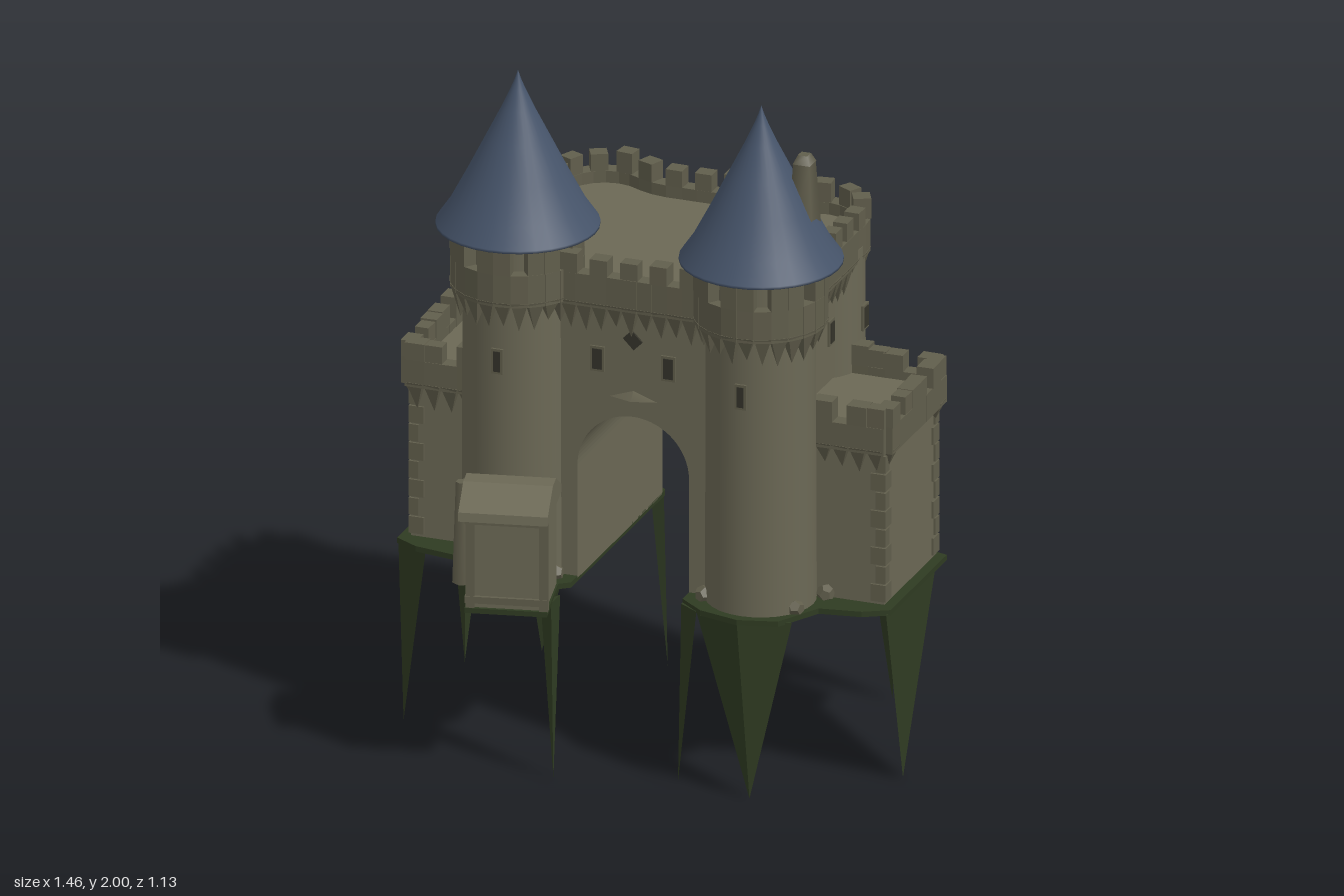
import * as THREE from 'three';
import { mergeGeometries } from 'three/addons/utils/BufferGeometryUtils.js';
import { ConvexGeometry } from 'three/addons/geometries/ConvexGeometry.js';

const material = (name, color, side = THREE.FrontSide) => new THREE.MeshStandardMaterial({ name, color, side });

export function createModel() {
  const model = new THREE.Group();
  model.name = 'castle';
  const stone = material('stone', 0x6b6855);
  const trim = material('trim stone', 0x615e4c);
  const dark = material('dark opening', 0x34332a);
  const slate = material('slate blue roof', 0x46546a);
  const grass = material('grass green', 0x2f3b22, THREE.DoubleSide);

  let seed = 7;
  const rand = () => (seed = (seed * 16807) % 2147483647) / 2147483647;
  const vary = (amount) => (rand() - 0.5) * amount;

  const add = (name, geometry, mat, x = 0, y = 0, z = 0, ry = 0) => {
    const mesh = new THREE.Mesh(geometry, mat);
    mesh.name = name;
    mesh.position.set(x, y, z);
    mesh.rotation.y = ry;
    model.add(mesh);
    return mesh;
  };
  // box spanning y0..y1
  const block = (name, mat, x0, x1, y0, y1, z0, z1) =>
    add(name, new THREE.BoxGeometry(x1 - x0, y1 - y0, z1 - z0), mat, (x0 + x1) / 2, (y0 + y1) / 2, (z0 + z1) / 2);
  // flat slab from a plan outline of [x, z] points
  const slab = (name, mat, points, y0, y1) => {
    const shape = new THREE.Shape(points.map(([x, z]) => new THREE.Vector2(x, -z)));
    const geometry = new THREE.ExtrudeGeometry(shape, { depth: y1 - y0, bevelEnabled: false });
    return add(name, geometry.rotateX(-Math.PI / 2), mat, 0, y0, 0);
  };
  const mirror = (points) => points.map(([x, z]) => [-x, z]).reverse();

  // rows of parapet stones, merlons and pointed corbels along a plan path
  function battlement(name, points, { y, low, high, cell, thick = 0.045, drop = 0.08, on = (i) => i % 2 === 0, teeth = () => true }) {
    const path = new THREE.CurvePath();
    for (let i = 1; i < points.length; i++) {
      path.add(new THREE.LineCurve3(
        new THREE.Vector3(points[i - 1][0], 0, points[i - 1][1]),
        new THREE.Vector3(points[i][0], 0, points[i][1])));
    }
    const n = Math.max(1, Math.round(path.getLength() / cell));
    const spots = path.getSpacedPoints(n);
    const walls = [], corbels = [];
    for (let i = 0; i < n; i++) {
      const a = spots[i], b = spots[i + 1];
      const d = b.clone().sub(a), mid = a.clone().add(b).multiplyScalar(0.5);
      const length = d.length(), angle = Math.atan2(-d.z, d.x);
      const put = (g, list, py) => list.push(g.rotateY(angle + vary(0.05)).translate(mid.x, py, mid.z));
      put(new THREE.BoxGeometry(length * 1.12, low - y, thick), walls, (y + low) / 2);
      if (on(i)) {
        const h = high - low + vary(0.014);
        put(new THREE.BoxGeometry(length * 1.15, h, thick + vary(0.01)), walls, low + h / 2);
      }
      if (teeth(mid)) {
        const h = drop + vary(0.03);
        const tooth = new THREE.ConeGeometry(0.034, h, 4, 1).rotateY(Math.PI / 4).rotateX(Math.PI).toNonIndexed();
        tooth.computeVertexNormals();
        put(tooth, corbels, y - h / 2 + 0.012);
      }
    }
    add(name + 'Parapet', mergeGeometries(walls), trim);
    if (corbels.length) add(name + 'Corbels', mergeGeometries(corbels), trim);
  }

  // main keep with the arched passage running through it
  const gate = new THREE.Shape();
  gate.moveTo(-0.42, 0.53);
  gate.lineTo(-0.165, 0.53);
  gate.lineTo(-0.165, 0.87);
  gate.absarc(0, 0.87, 0.165, Math.PI, 0, true);
  gate.lineTo(0.165, 0.53);
  gate.lineTo(0.42, 0.53);
  gate.lineTo(0.42, 1.4);
  gate.lineTo(-0.42, 1.4);
  add('keep', new THREE.ExtrudeGeometry(gate, { depth: 0.65, bevelEnabled: false, curveSegments: 20 }), stone, 0, 0, -0.43);

  // rear parapet path: side, round corner, back wall, mirrored
  const rearLeft = [[-0.44, 0.03], [-0.44, -0.34]];
  for (let k = 0; k <= 7; k++) {
    const a = Math.PI * (0.97 - 0.1 * k);
    rearLeft.push([-0.31 + 0.135 * Math.cos(a), -0.36 - 0.135 * Math.sin(a)]);
  }
  rearLeft.push([-0.17, -0.447]);
  const rear = [...rearLeft, ...mirror(rearLeft)];
  const mainWall = { y: 1.36, low: 1.455, high: 1.51, cell: 0.043 };
  battlement('rear', rear, mainWall);
  battlement('front', [[-0.2, 0.235], [0.2, 0.235]], mainWall);
  slab('roofTerrace', stone, [...rear, [0.44, 0.12], [0.2, 0.235], [-0.2, 0.235], [-0.44, 0.12]], 1.36, 1.42);

  // spires, seen in profile
  const spire = [[0, 1.56], [0.18, 1.54], [0.228, 1.542], [0.228, 1.55], [0.19, 1.605], [0.14, 1.70],
    [0.09, 1.80], [0.045, 1.89], [0.02, 1.945], [0.008, 1.975], [0, 2]].map(([r, y]) => new THREE.Vector2(r, y));

  for (const s of [-1, 1]) {
    const side = s > 0 ? 'left' : 'right';
    // round towers
    add(side + 'FrontTower', new THREE.CylinderGeometry(0.152, 0.155, 1.01, 28), stone, s * 0.36, 1.035, 0.175);
    add(side + 'RearTower', new THREE.CylinderGeometry(0.145, 0.15, 0.87, 28), stone, s * 0.32, 0.965, -0.325);
    const ring = [];
    for (let k = 0; k <= 24; k++) {
      const a = (k / 24) * Math.PI * 2;
      ring.push([s * 0.36 + 0.165 * Math.cos(a), 0.175 + 0.165 * Math.sin(a)]);
    }
    battlement(side + 'Tower', ring, { y: 1.365, low: 1.46, high: 1.55, cell: 0.043, on: (i) => i % 3 !== 1 });
    add(side + 'Spire', new THREE.LatheGeometry(spire, 32), slate, s * 0.36, 0, 0.172);

    // side wing with its own parapet and corner stones
    const span = (a, b) => (s > 0 ? [a, b] : [-b, -a]);
    block(side + 'Wing', stone, ...span(0.4, 0.7), 0.53, 1.045, -0.29, 0.11);
    battlement(side + 'Wing', [[s * 0.45, 0.115], [s * 0.705, 0.115], [s * 0.705, -0.295], [s * 0.45, -0.295]],
      { y: 0.99, low: 1.07, high: 1.125, cell: 0.05, drop: 0.07, on: (i) => i % 4 !== 2, teeth: (p) => p.z > 0.08 || p.z < -0.26 });
    const quoins = [];
    for (const z of [-0.285, 0.105]) {
      for (let k = 0; k < 8; k++) {
        const w = k % 2 ? 0.03 : 0.045;
        quoins.push(new THREE.BoxGeometry(w, 0.05, w).translate(s * (0.706 - w / 2), 0.57 + k * 0.055, z + Math.sign(z) * (0.011 - w / 2)));
      }
    }
    add(side + 'CornerStones', mergeGeometries(quoins), trim);

    // slit windows on keep and towers
    const slit = (x, y, z, ry, w = 0.028) => {
      add('windowFrame', new THREE.BoxGeometry(w + 0.014, 0.074, 0.008), trim, x, y, z, ry);
      add('window', new THREE.BoxGeometry(w, 0.06, 0.009), dark, x + 0.002 * Math.sin(ry), y, z + 0.002 * Math.cos(ry), ry);
    };
    slit(s * 0.105, 1.195, 0.222, 0);
    slit(s * 0.1, 1.195, -0.432, Math.PI);
    slit(s * 0.36, 1.19, 0.33, 0, 0.02);
    slit(s * 0.32, 1.19, -0.474, Math.PI, 0.02);
    slit(s * 0.422, 1.19, -0.2, s * Math.PI / 2);
    slit(s * 0.468, 1.19, -0.34, s * Math.PI / 2);

    // rubble at the tower feet
    for (const [x, z] of [[0.49, 0.25], [0.22, 0.25], [0.45, -0.4], [0.53, 0.12]]) {
      add('footStone', new THREE.DodecahedronGeometry(0.026), trim, s * x, 0.55, z, rand() * 3);
    }

    // grassy ledge under each half
    const ledge = [[0.165, 0.27], [0.24, 0.33], [0.36, 0.36], [0.47, 0.33], [0.54, 0.2], [0.66, 0.18], [0.73, 0.14],
      [0.73, -0.29], [0.57, -0.34], [0.53, -0.44], [0.45, -0.53], [0.34, -0.56], [0.24, -0.53], [0.165, -0.45]];
    slab(side + 'Ledge', grass, s > 0 ? ledge : mirror(ledge), 0.52, 0.536);
  }

  // niche and ledge above the gate
  const niche = add('niche', new THREE.BoxGeometry(0.045, 0.045, 0.009), dark, 0, 1.265, 0.222);
  niche.rotation.z = Math.PI / 4;
  niche.scale.x = 0.8;
  const sill = add('gateSill', new THREE.ConeGeometry(0.07, 0.025, 4), trim, 0, 1.1, 0.22);
  sill.scale.z = 0.3;

  // hanging spikes: tip [x, z], then the corners they hang from
  const spikes = [
    [[0.39, 0.34], [0.22, 0.31], [0.36, 0.36], [0.5, 0.3], [0.36, 0.24]],
    [[0.73, 0.045], [0.725, 0.16], [0.73, -0.2], [0.67, 0]],
    [[0.5, -0.47], [0.45, -0.53], [0.55, -0.38], [0.45, -0.4]],
    [[-0.53, -0.45], [-0.56, -0.33], [-0.53, -0.45], [-0.46, -0.52], [-0.38, -0.42]],
    [[-0.7, -0.3], [-0.73, -0.26], [-0.64, -0.32], [-0.68, -0.25]],
    [[-0.705, 0.155], [-0.73, 0.13], [-0.63, 0.18], [-0.67, 0.11]],
    [[-0.167, 0.4], [-0.17, 0.41], [-0.205, 0.4], [-0.17, 0.34]],
    [[0.163, 0.3], [0.165, 0.24], [0.165, 0.28], [0.225, 0.32]],
    [[-0.167, -0.475], [-0.165, -0.44], [-0.21, -0.5], [-0.2, -0.43]],
  ];
  for (const [tip, ...top] of spikes) {
    const corners = top.map(([x, z]) => new THREE.Vector3(x, 0.525, z));
    add('hangingSpike', new ConvexGeometry([...corners, new THREE.Vector3(tip[0], 0.0, tip[1])]), grass);
  }

  // small gatehouse hut, turned a little
  const hut = new THREE.Group();
  hut.name = 'hut';
  hut.position.set(-0.285, 0, 0.415);
  hut.rotation.y = 0.22;
  const hutPart = (name, geometry, mat, x, y, z) => {
    const mesh = new THREE.Mesh(geometry, mat);
    mesh.name = name;
    mesh.position.set(x, y, z);
    hut.add(mesh);
    return mesh;
  };
  hutPart('hutPad', new THREE.BoxGeometry(0.23, 0.015, 0.22), grass, 0, 0.528, 0);
  hutPart('hutWalls', new THREE.BoxGeometry(0.21, 0.28, 0.2), stone, 0.005, 0.675, 0);
  for (const x of [-0.1, 0.105]) hutPart('hutPost', new THREE.BoxGeometry(0.025, 0.27, 0.025), trim, x, 0.67, 0.095);
  for (const y of [0.56, 0.795]) hutPart('hutBeam', new THREE.BoxGeometry(0.23, 0.02, 0.02), trim, 0, y, 0.1);
  // gable roof with its ridge running sideways
  const gable = new THREE.Shape([[-0.13, 0.8], [0.13, 0.8], [0.125, 0.825], [0.03, 0.88], [-0.03, 0.88], [-0.125, 0.825]]
    .map(([x, y]) => new THREE.Vector2(x, y)));
  const roof = new THREE.ExtrudeGeometry(gable, { depth: 0.25, bevelEnabled: false }).rotateY(Math.PI / 2);
  hutPart('hutRoof', roof, stone, -0.13, 0, 0);
  model.add(hut);
  add('hutStone', new THREE.CylinderGeometry(0.02, 0.03, 0.3, 6), trim, -0.45, 0.68, 0.36);

  // chimney leaning out of one spire
  const chimney = new THREE.CylinderGeometry(0.034, 0.055, 0.25, 4).rotateY(Math.PI / 4);
  add('chimney', chimney, trim, 0.478, 1.715, 0.147);
  add('chimneyTop', new THREE.CylinderGeometry(0.02, 0.036, 0.025, 4).rotateY(Math.PI / 4), trim, 0.478, 1.85, 0.147);
  return model;
}
